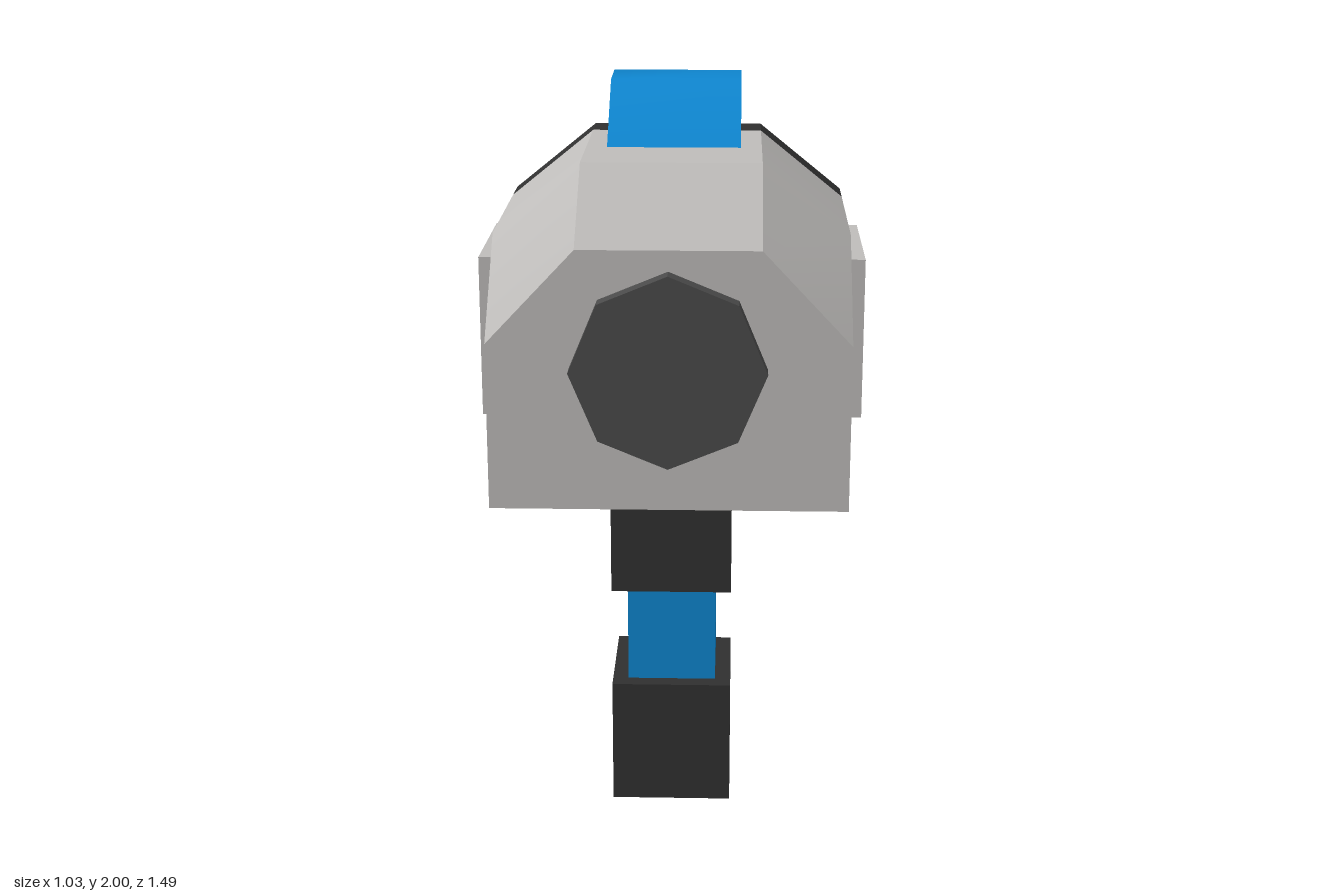
import * as THREE from 'three';
import { mergeGeometries, toCreasedNormals } from 'three/addons/utils/BufferGeometryUtils.js';

// Six-sided housing outline, counter-clockwise seen from the front
function section(z, side, shoulder, topHalf, top) {
  const base = 0.96;
  return [
    [-side, base, z], [side, base, z], [side, shoulder, z],
    [topHalf, top, z], [-topHalf, top, z], [-side, shoulder, z],
  ];
}

// Skin sections listed back to front; strips in smoothStrips are shaded smoothly along their length
function loft(sections, smoothStrips = []) {
  const parts = [];
  const add = (points, index, smooth) => {
    let g = new THREE.BufferGeometry();
    g.setAttribute('position', new THREE.Float32BufferAttribute(points.flat(), 3));
    g.setIndex(index);
    if (smooth) g.computeVertexNormals();
    g = g.toNonIndexed();
    if (!smooth) g.computeVertexNormals();
    parts.push(g);
  };
  const n = sections[0].length;
  for (let i = 0; i < n; i++) {
    const points = [], index = [];
    sections.forEach((s, k) => {
      points.push(s[i], s[(i + 1) % n]);
      if (k > 0) {
        const a = 2 * k - 2;
        index.push(a, a + 1, a + 3, a, a + 3, a + 2);
      }
    });
    add(points, index, smoothStrips.includes(i));
  }
  const front = [], back = [];
  for (let i = 1; i < n - 1; i++) {
    front.push(0, i, i + 1);
    back.push(0, i + 1, i);
  }
  add(sections[sections.length - 1], front, false);
  add(sections[0], back, false);
  return mergeGeometries(parts);
}

// Extrude a (z, y) side profile across the model's width
function sideExtrude(points, width) {
  const shape = new THREE.Shape(points.map(([z, y]) => new THREE.Vector2(z, y)));
  const g = new THREE.ExtrudeGeometry(shape, { depth: width, bevelEnabled: false });
  g.translate(0, 0, -width / 2);
  g.rotateY(-Math.PI / 2);
  return g;
}

export function createModel() {
  const model = new THREE.Group();
  const paint = (name, color) => {
    const m = new THREE.MeshStandardMaterial({ color });
    m.name = name;
    return m;
  };
  const lightGrey = paint('lightGrey', 0xbebcba);
  const midGrey = paint('midGrey', 0x4a4a4a);
  const darkGrey = paint('darkGrey', 0x303030);
  const blue = paint('blue', 0x0e86d0);

  const add = (name, geometry, material) => {
    const mesh = new THREE.Mesh(geometry, material);
    mesh.name = name;
    model.add(mesh);
    return mesh;
  };
  const box = (name, w, h, d, x, y, z, material) =>
    add(name, new THREE.BoxGeometry(w, h, d), material).position.set(x, y, z);

  // Main housing with sloped nose and smooth shoulders
  add('housing', loft([
    section(-0.065, 0.475, 1.65, 0.24, 1.84),
    section(0.443, 0.475, 1.65, 0.24, 1.84),
    section(0.685, 0.475, 1.41, 0.24, 1.66),
  ], [2, 4]), lightGrey);

  // Rear cover with chamfered rim
  add('rearCover', loft([
    section(-0.224, 0.435, 1.63, 0.225, 1.8),
    section(-0.185, 0.475, 1.65, 0.24, 1.84),
    section(-0.065, 0.475, 1.65, 0.24, 1.84),
  ]), darkGrey);

  // Raised side panels
  for (const [name, s] of [['leftPanel', 1], ['rightPanel', -1]]) {
    box(name, 0.06, 0.44, 0.432, s * 0.487, 1.36, 0.214, lightGrey);
  }

  // Octagonal front disc
  const disc = new THREE.CylinderGeometry(0.257, 0.257, 0.053, 8).toNonIndexed();
  disc.computeVertexNormals();
  disc.rotateX(Math.PI / 2);
  add('frontDisc', disc, midGrey).position.set(0, 1.35, 0.7185);

  // Rear pack with sloped back edge
  add('rearPack', sideExtrude([
    [-0.222, 0.8], [-0.222, 1.54], [-0.62, 1.54], [-0.745, 1.36], [-0.745, 0.8],
  ], 0.54), midGrey);

  // Curved strap from housing top to rear pack
  const strap = sideExtrude([
    [0.218, 1.838], [0.01, 1.995], [-0.152, 2], [-0.303, 1.872], [-0.385, 1.705], [-0.407, 1.538],
    [-0.362, 1.538], [-0.345, 1.7], [-0.28, 1.84], [-0.14, 1.962], [0.0, 1.955], [0.152, 1.838],
  ], 0.366);
  add('strap', toCreasedNormals(strap, 0.85), blue);

  // Handle
  box('handleBase', 0.333, 0.357, 0.333, 0, 0.1785, 0.313, darkGrey);
  box('handleGrip', 0.246, 0.287, 0.246, 0, 0.4985, 0.313, blue);
  box('handleCollar', 0.333, 0.32, 0.333, 0, 0.801, 0.313, darkGrey);

  return model;
}
